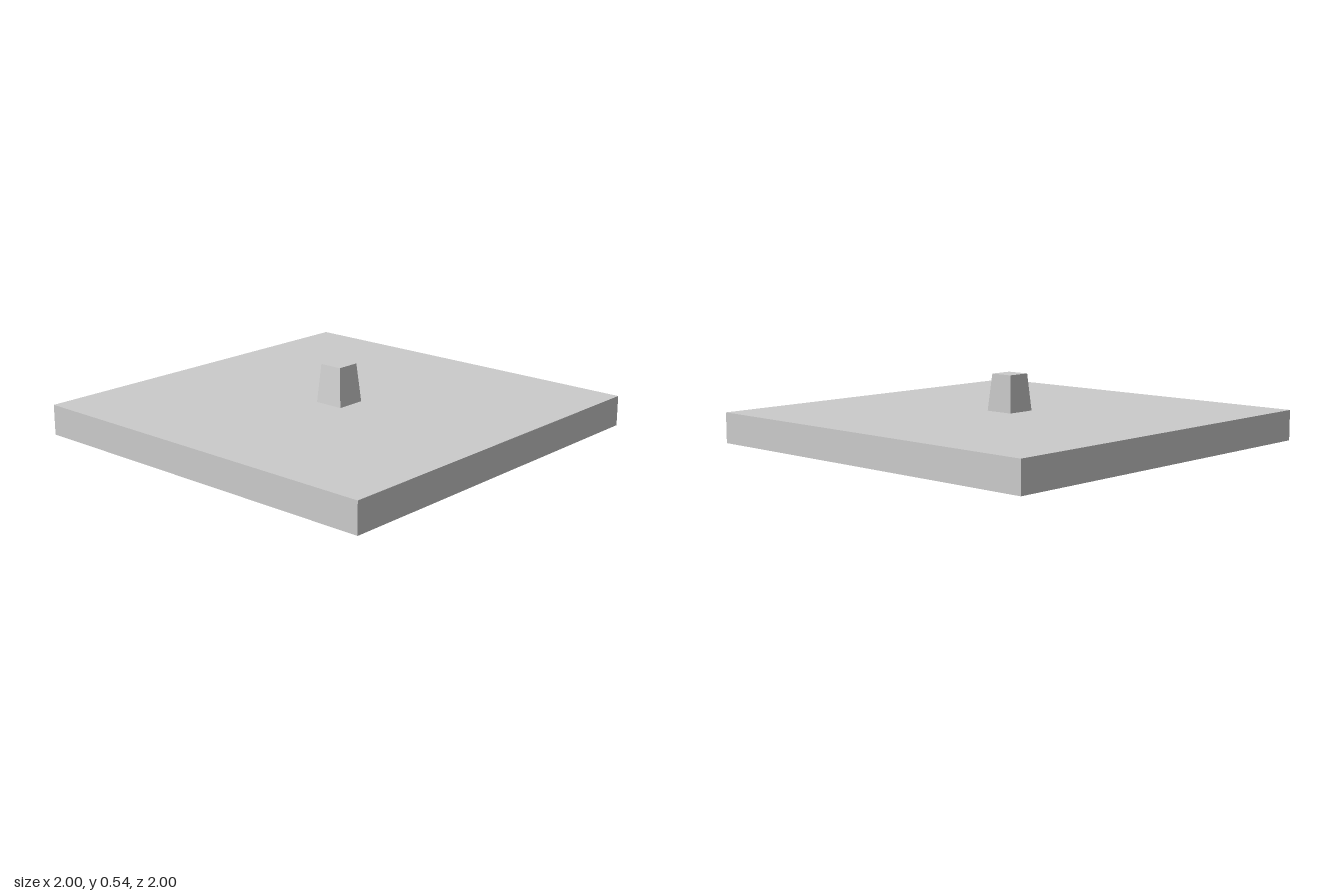
import * as THREE from 'three';

const material = new THREE.MeshStandardMaterial({ color: 0xcccccc, flatShading: true });

// Square peg: two upright sides, two sides sloping in towards the tip
function makePeg(name, baseY, tipY) {
  const low = -0.063, baseEdge = 0.093, tipEdge = 0.06;
  const geometry = new THREE.BoxGeometry(1, 1, 1);
  const p = geometry.attributes.position;
  const up = tipY > baseY;
  for (let i = 0; i < p.count; i++) {
    const atTip = (p.getY(i) > 0) === up;
    const edge = atTip ? tipEdge : baseEdge;
    p.setXYZ(i, p.getX(i) > 0 ? edge : low, atTip ? tipY : baseY, p.getZ(i) > 0 ? edge : low);
  }
  geometry.computeVertexNormals();
  const peg = new THREE.Mesh(geometry, material);
  peg.name = name;
  return peg;
}

export function createModel() {
  const group = new THREE.Group();
  group.name = 'slabWithPegs';

  // Square slab
  const bottom = 0.19, top = 0.345;
  const slab = new THREE.Mesh(new THREE.BoxGeometry(2, top - bottom, 2), material);
  slab.name = 'slab';
  slab.position.y = (top + bottom) / 2;
  group.add(slab);

  // Matching pegs above and below
  group.add(makePeg('upperPeg', top, top + bottom));
  group.add(makePeg('lowerPeg', bottom, 0));

  return group;
}
